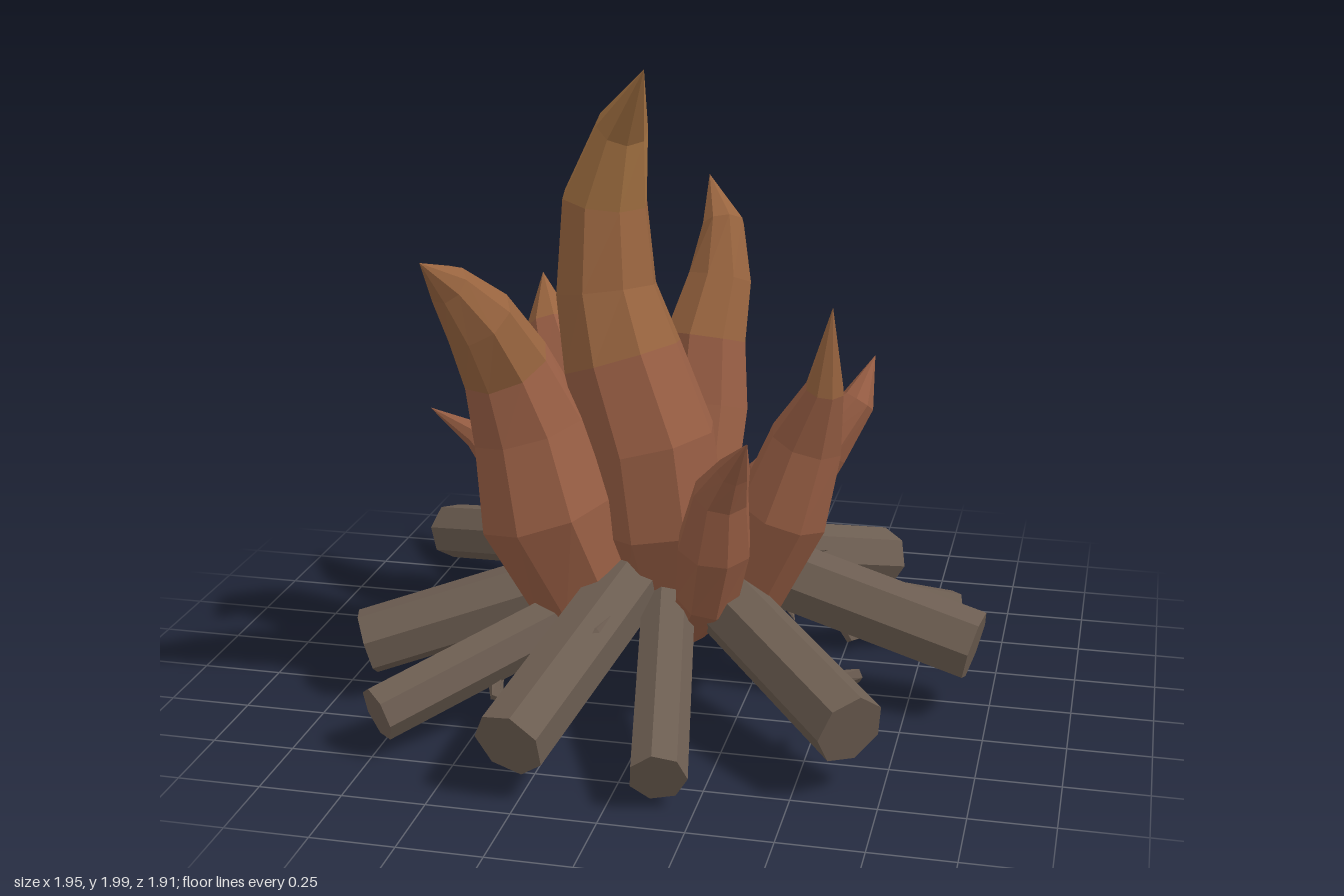
import * as THREE from 'three';

const paint = (color) => new THREE.MeshStandardMaterial({ color, flatShading: true, side: THREE.DoubleSide });
const bark = paint(0x6c5d51);
const fire = [paint(0x985e44), paint(0x98643f), paint(0xa67343)];

// Tapered body through points [x, y, z, radius]; returns one triangle list per band
function loft(points, sides, bandOf = () => 0) {
  const centres = points.map((p) => new THREE.Vector3(p[0], p[1], p[2]));
  const last = centres.length - 1;
  const whole = centres[last].clone().sub(centres[0]).normalize();
  const ref = Math.abs(whole.z) > 0.75 ? new THREE.Vector3(1, 0, 0) : new THREE.Vector3(0, 0, 1);
  const rings = centres.map((c, i) => {
    const t = centres[Math.min(i + 1, last)].clone().sub(centres[Math.max(i - 1, 0)]).normalize();
    const u = t.clone().cross(ref).normalize();
    const w = u.clone().cross(t);
    return Array.from({ length: sides }, (_, j) => {
      const a = ((j + 0.25) / sides) * Math.PI * 2;
      return c.clone().addScaledVector(u, Math.cos(a) * points[i][3]).addScaledVector(w, Math.sin(a) * points[i][3]);
    });
  });
  const bands = [[], [], []];
  for (let i = 0; i < last; i++) {
    const out = bands[bandOf((points[i][1] + points[i + 1][1]) / 2)];
    for (let j = 0; j < sides; j++) {
      const k = (j + 1) % sides;
      const [a, b, c, d] = [rings[i][j], rings[i][k], rings[i + 1][k], rings[i + 1][j]];
      if (points[i][3] > 0) out.push(a, d, b);
      if (points[i + 1][3] > 0) out.push(b, d, c);
    }
  }
  return bands;
}

function meshOf(triangles, material, name) {
  const geometry = new THREE.BufferGeometry().setFromPoints(triangles);
  geometry.computeVertexNormals();
  const mesh = new THREE.Mesh(geometry, material);
  mesh.name = name;
  return mesh;
}

// Flames: spine points [x, y, z, radius], from root to tip
const flames = {
  centreFlame: [[0, 0.2, 0.08, 0.07], [0, 0.35, 0.1, 0.14], [-0.02, 0.6, 0.13, 0.21], [-0.05, 0.85, 0.13, 0.21],
    [-0.14, 1.1, 0.1, 0.19], [-0.2, 1.3, 0.06, 0.16], [-0.21, 1.57, 0.03, 0.135], [-0.14, 1.8, 0.09, 0.08], [-0.03, 2, 0.27, 0]],
  frontLeftFlame: [[-0.12, 0.25, 0.1, 0.08], [-0.25, 0.4, 0.2, 0.18], [-0.34, 0.65, 0.24, 0.22], [-0.4, 0.9, 0.23, 0.18],
    [-0.46, 1.1, 0.27, 0.14], [-0.51, 1.27, 0.37, 0.11], [-0.57, 1.39, 0.46, 0.065], [-0.61, 1.48, 0.58, 0]],
  backFlame: [[0, 0.25, -0.1, 0.08], [0, 0.45, -0.24, 0.14], [0, 0.8, -0.4, 0.16], [0, 1.02, -0.45, 0.14],
    [0.03, 1.2, -0.53, 0.11], [0.03, 1.37, -0.59, 0.07], [-0.05, 1.5, -0.75, 0]],
  sideFlame: [[0.12, 0.25, 0.06, 0.07], [0.26, 0.4, 0.1, 0.12], [0.36, 0.65, 0.12, 0.145], [0.43, 0.88, 0.11, 0.115],
    [0.49, 1.06, 0.17, 0.06], [0.515, 1.32, 0.21, 0]],
  backSideFlame: [[0.1, 0.25, -0.12, 0.06], [0.22, 0.42, -0.2, 0.11], [0.3, 0.6, -0.23, 0.13], [0.42, 0.76, -0.24, 0.1],
    [0.53, 0.89, -0.28, 0.055], [0.57, 1.02, -0.36, 0]],
  frontSmallFlame: [[0.08, 0.25, 0.15, 0.05], [0.16, 0.42, 0.27, 0.1], [0.19, 0.6, 0.32, 0.115], [0.22, 0.78, 0.37, 0.085],
    [0.27, 0.88, 0.44, 0.05], [0.33, 1, 0.55, 0]],
  lowFlame: [[-0.15, 0.25, -0.02, 0.06], [-0.3, 0.4, -0.02, 0.1], [-0.42, 0.52, -0.03, 0.105], [-0.54, 0.65, -0.04, 0.08],
    [-0.66, 0.76, -0.06, 0.045], [-0.83, 0.83, -0.1, 0]],
  backCornerFlame: [[-0.1, 0.25, -0.1, 0.07], [-0.24, 0.42, -0.2, 0.14], [-0.34, 0.65, -0.28, 0.16], [-0.44, 0.88, -0.33, 0.13],
    [-0.51, 1.05, -0.4, 0.08], [-0.57, 1.19, -0.53, 0]],
};

// Logs: outer end, inner end, radius
const logs = [
  [[-0.39, 0.2, -0.9], [0.01, 0.45, -0.12], 0.105],
  [[0.55, 0.13, -0.89], [0.03, 0.38, -0.2], 0.105],
  [[0.83, 0.09, -0.53], [0.1, 0.32, -0.15], 0.08],
  [[0.95, 0.23, 0.05], [0.1, 0.44, -0.07], 0.11],
  [[0.66, 0.22, 0.69], [0.1, 0.4, 0.08], 0.11],
  [[0.15, 0.12, 0.9], [0.02, 0.36, 0.2], 0.085],
  [[-0.28, 0.18, 0.91], [-0.08, 0.44, 0.15], 0.11],
  [[-0.74, 0.14, 0.72], [-0.12, 0.37, 0.1], 0.085],
  [[-0.92, 0.18, 0.31], [-0.1, 0.42, 0.02], 0.105],
  [[-0.92, 0.24, -0.54], [-0.12, 0.44, -0.06], 0.095],
];

// Twig stubs: root, middle, tip
const twigs = [
  [[-0.33, 0.31, -0.66], [-0.35, 0.38, -0.7], [-0.33, 0.36, -0.77]],
  [[0.22, 0.33, -0.56], [0.16, 0.34, -0.6], [0.15, 0.34, -0.69]],
  [[0.4, 0.27, -0.32], [0.35, 0.32, -0.38], [0.43, 0.34, -0.38]],
  [[0.5, 0.33, -0.06], [0.58, 0.34, -0.14], [0.65, 0.33, -0.19]],
  [[0.55, 0.28, 0.52], [0.65, 0.3, 0.49], [0.64, 0.28, 0.41]],
  [[-0.17, 0.33, 0.6], [-0.12, 0.38, 0.53], [-0.09, 0.41, 0.47]],
  [[-0.62, 0.36, -0.36], [-0.56, 0.46, -0.32], [-0.46, 0.49, -0.31]],
  [[-0.58, 0.22, 0.2], [-0.62, 0.1, 0.22], [-0.69, 0.09, 0.26]],
  [[-0.46, 0.27, -0.28], [-0.49, 0.14, -0.29], [-0.55, 0.1, -0.33]],
  [[0.46, 0.17, -0.33], [0.52, 0.06, -0.33], [0.59, 0.06, -0.37]],
  [[0.3, 0.2, -0.55], [0.28, 0.1, -0.47], [0.32, 0.07, -0.4]],
  [[-0.46, 0.2, 0.44], [-0.44, 0.13, 0.5], [-0.38, 0.12, 0.52]],
];

export function createModel() {
  const model = new THREE.Group();
  model.name = 'campfire';

  // Flames, warmer in colour towards the top
  for (const [name, spine] of Object.entries(flames)) {
    const flame = new THREE.Group();
    flame.name = name;
    const [x, y, z] = spine[0];
    const bands = loft([[x, y - 0.02, z, 0], ...spine], 8, (h) => (h < 1.05 ? 0 : h < 1.45 ? 1 : 2));
    bands.forEach((tris, i) => {
      if (tris.length) flame.add(meshOf(tris, fire[i], ['flameBase', 'flameMiddle', 'flameTip'][i]));
    });
    model.add(flame);
  }

  // Logs leaning in to the middle
  logs.forEach(([outer, inner, radius], i) => {
    const a = new THREE.Vector3(...outer);
    const b = new THREE.Vector3(...inner);
    const axis = b.clone().sub(a);
    const log = new THREE.Mesh(new THREE.CylinderGeometry(radius, radius, axis.length(), 7), bark);
    log.position.copy(a).add(b).multiplyScalar(0.5);
    log.quaternion.setFromUnitVectors(new THREE.Vector3(0, 1, 0), axis.normalize());
    log.name = `log${i + 1}`;
    model.add(log);
  });

  // Hooked twig stubs on the logs
  twigs.forEach(([root, middle, tip], i) => {
    const tris = loft([[...root, 0.03], [...middle, 0.022], [...tip, 0]], 5)[0];
    model.add(meshOf(tris, bark, `twig${i + 1}`));
  });

  return model;
}
